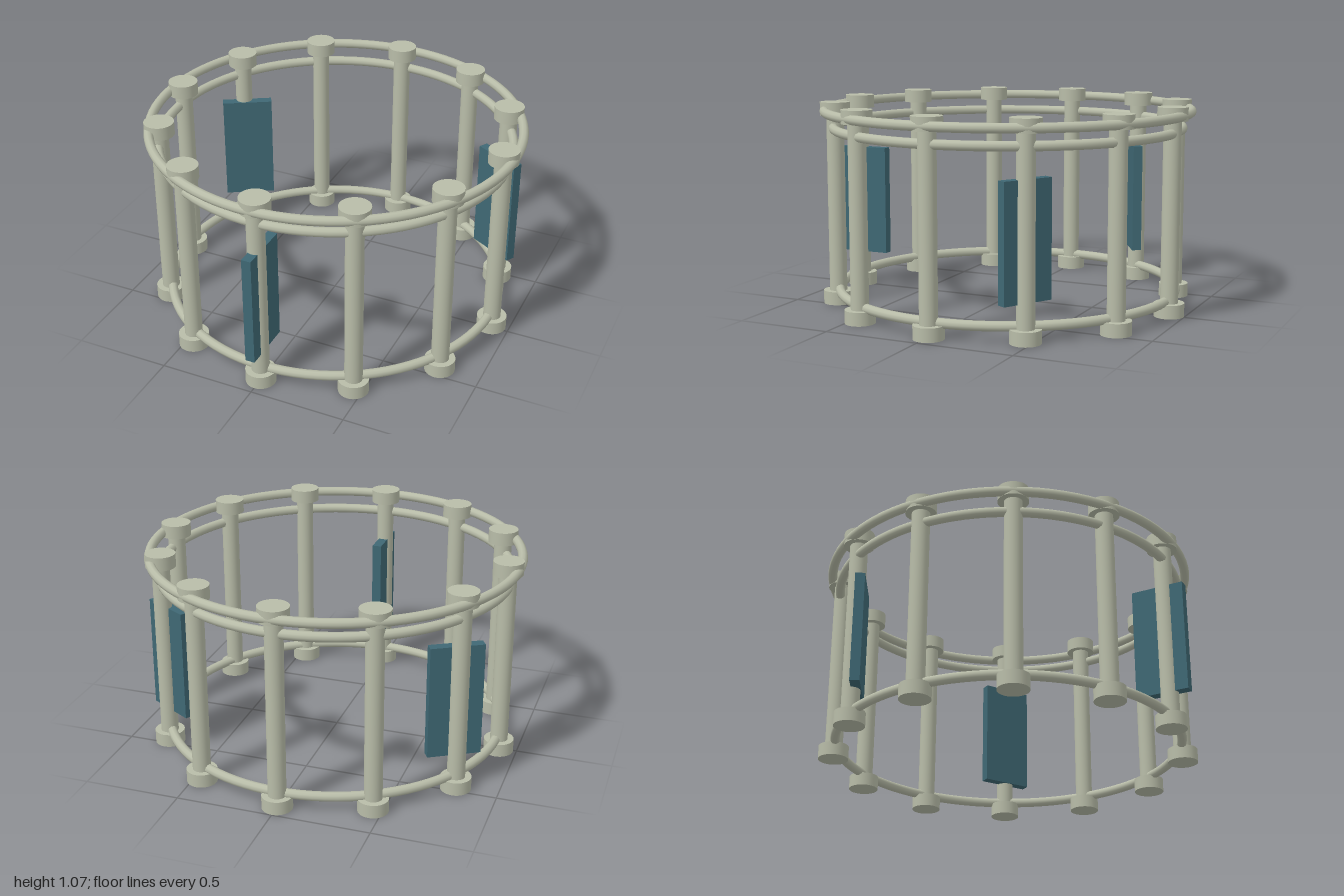
import * as THREE from 'three';

export function createModel() {
  const model = new THREE.Group();
  const stone = new THREE.MeshStandardMaterial({ color: 0xb8bca8 });
  stone.name = 'pale stone';
  const teal = new THREE.MeshStandardMaterial({ color: 0x3f6874 });
  teal.name = 'dark teal';

  // The circle sits slightly back, as the front panel reaches past the rings
  const CENTRE_Z = -0.015;
  const POST_RADIUS = 0.905;

  const add = (parent, name, geometry, material, x, y, z) => {
    const mesh = new THREE.Mesh(geometry, material);
    mesh.name = name;
    mesh.position.set(x, y, z);
    parent.add(mesh);
    return mesh;
  };

  // Twelve posts, each with a foot and a cap
  const shaftGeometry = new THREE.CylinderGeometry(0.046, 0.046, 0.96, 32);
  const discGeometry = new THREE.CylinderGeometry(0.078, 0.078, 0.07, 32);
  for (let i = 0; i < 12; i++) {
    const a = (i * Math.PI) / 6;
    const post = new THREE.Group();
    post.name = 'post';
    post.position.set(Math.cos(a) * POST_RADIUS, 0, CENTRE_Z + Math.sin(a) * POST_RADIUS);
    add(post, 'shaft', shaftGeometry, stone, 0, 0.535, 0);
    add(post, 'foot', discGeometry, stone, 0, 0.035, 0);
    add(post, 'cap', discGeometry, stone, 0, 1.035, 0);
    model.add(post);
  }

  // Three hoops tying the posts together
  const hoops = [
    ['topHoop', 0.96, 1.025],
    ['upperHoop', 0.915, 0.937],
    ['lowerHoop', 0.895, 0.08],
  ];
  for (const [name, radius, y] of hoops) {
    const geometry = new THREE.TorusGeometry(radius, 0.025, 10, 96).rotateX(Math.PI / 2);
    add(model, name, geometry, stone, 0, y, CENTRE_Z);
  }

  // Three upright panels, threaded on every fourth post
  const panelGeometry = new THREE.BoxGeometry(0.275, 0.59, 0.05);
  for (const degrees of [90, 210, 330]) {
    const a = THREE.MathUtils.degToRad(degrees);
    const panel = add(model, 'panel', panelGeometry, teal,
      Math.cos(a) * 0.875, 0.485, CENTRE_Z + Math.sin(a) * 0.875);
    panel.rotation.y = a;
  }

  return model;
}
